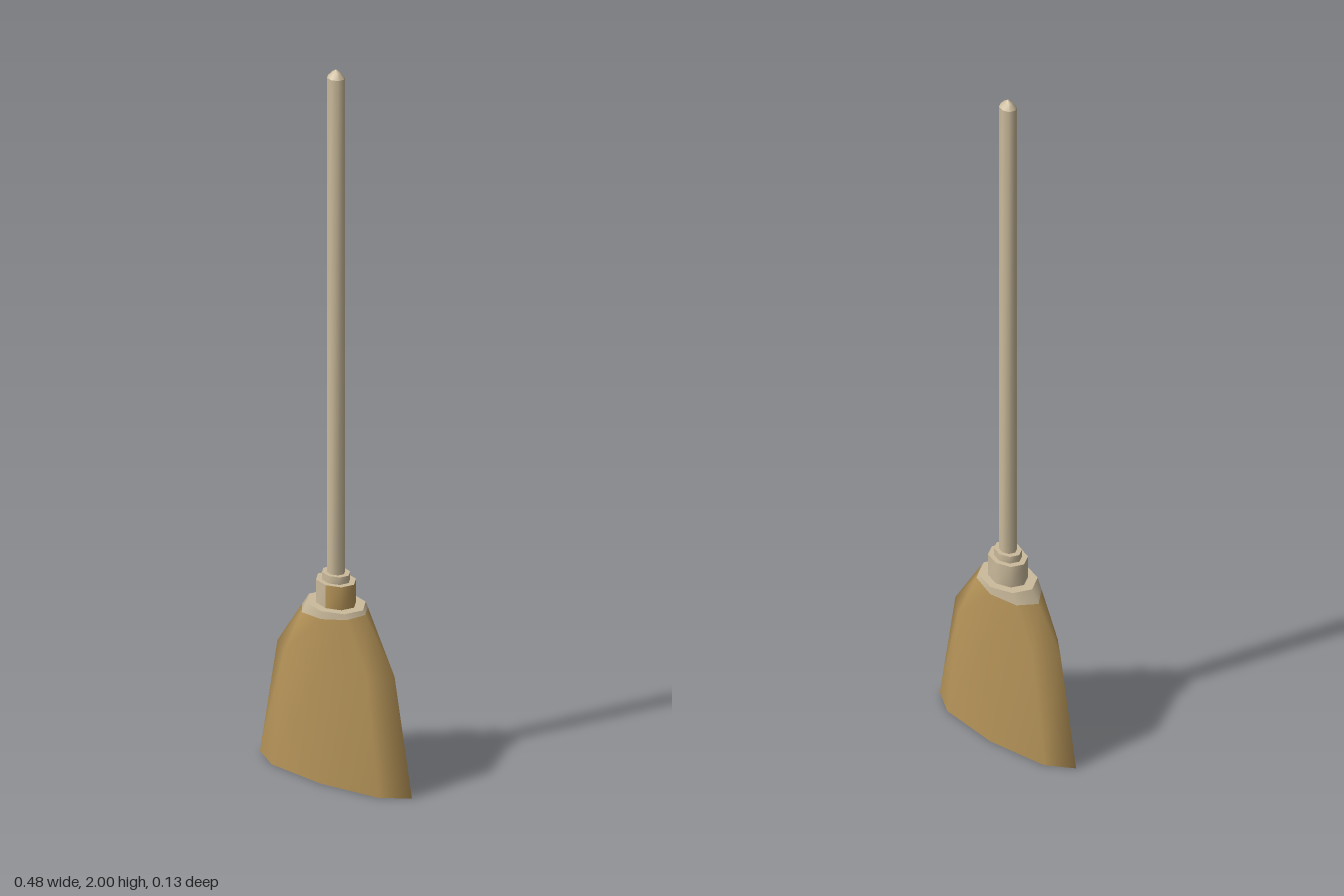
import * as THREE from 'three';

const SIDES = 8;
const wood = new THREE.MeshStandardMaterial({ color: 0xcbbb9c });
wood.name = 'pale wood';
const straw = new THREE.MeshStandardMaterial({ color: 0xb8965a });
straw.name = 'straw';

// Ring of eight corners; tilt lowers the -x side, widen follows the slope of the wall.
function ring(halfX, halfZ, y, tilt = 0, widen = 0) {
  return Array.from({ length: SIDES }, (_, i) => {
    const a = (i / SIDES) * Math.PI * 2, dy = tilt * Math.cos(a);
    return [(halfX - widen * dy) * Math.cos(a), y + dy, halfZ * Math.sin(a)];
  });
}

// Smooth walls between rings, with flat end caps. pick(row, side) chooses material 0 or 1.
function loft(name, rings, materials, pick, bottomMat = 0, topMat = 0) {
  const pos = rings.flat(2), index = [];
  const geo = new THREE.BufferGeometry();
  const add = (material, ...ids) => {
    geo.addGroup(index.length, ids.length, material);
    index.push(...ids);
  };
  for (let r = 0; r < rings.length - 1; r++) {
    for (let i = 0; i < SIDES; i++) {
      const a = r * SIDES + i, b = r * SIDES + ((i + 1) % SIDES);
      add(pick(r, i), a, a + SIDES, b, b, a + SIDES, b + SIDES);
    }
  }
  [[rings[0], true, bottomMat], [rings[rings.length - 1], false, topMat]].forEach(([loop, down, mat]) => {
    const base = pos.length / 3;
    pos.push(...loop.flat());
    for (let i = 1; i < SIDES - 1; i++) {
      if (down) add(mat, base, base + i, base + i + 1);
      else add(mat, base, base + i + 1, base + i);
    }
  });
  geo.setAttribute('position', new THREE.Float32BufferAttribute(pos, 3));
  geo.setIndex(index);
  geo.computeVertexNormals();
  const mesh = new THREE.Mesh(geo, materials);
  mesh.name = name;
  return mesh;
}

export function createModel() {
  const broom = new THREE.Group();
  broom.name = 'broom';
  const mats = [straw, wood];
  const allWood = () => 1;

  // Flared brush head with a pale band under its shoulder
  broom.add(loft('bristles', [
    ring(0.24, 0.066, 0),
    ring(0.185, 0.066, 0.33),
    ring(0.1, 0.066, 0.467, 0.012, 0.625),
    ring(0.085, 0.066, 0.49),
  ], mats, (row) => (row === 2 ? 1 : 0), 0, 1));

  // Collar, straw coloured on its +x side
  broom.add(loft('collar', [
    ring(0.057, 0.045, 0.49), ring(0.057, 0.045, 0.555),
  ], mats, (row, i) => (i < 2 || i === 7 ? 0 : 1), 1, 1));

  broom.add(loft('collarRing', [
    ring(0.04, 0.032, 0.555), ring(0.04, 0.032, 0.576),
  ], mats, allWood, 1, 1));

  // Long handle and its pointed end
  broom.add(loft('handle', [
    ring(0.025, 0.021, 0.57), ring(0.025, 0.021, 1.978),
  ], mats, allWood, 1, 1));

  broom.add(loft('handleTip', [
    ring(0.025, 0.021, 1.978), ring(0.012, 0.01, 1.993), ring(0.001, 0.001, 2),
  ], mats, allWood, 1, 1));

  return broom;
}
